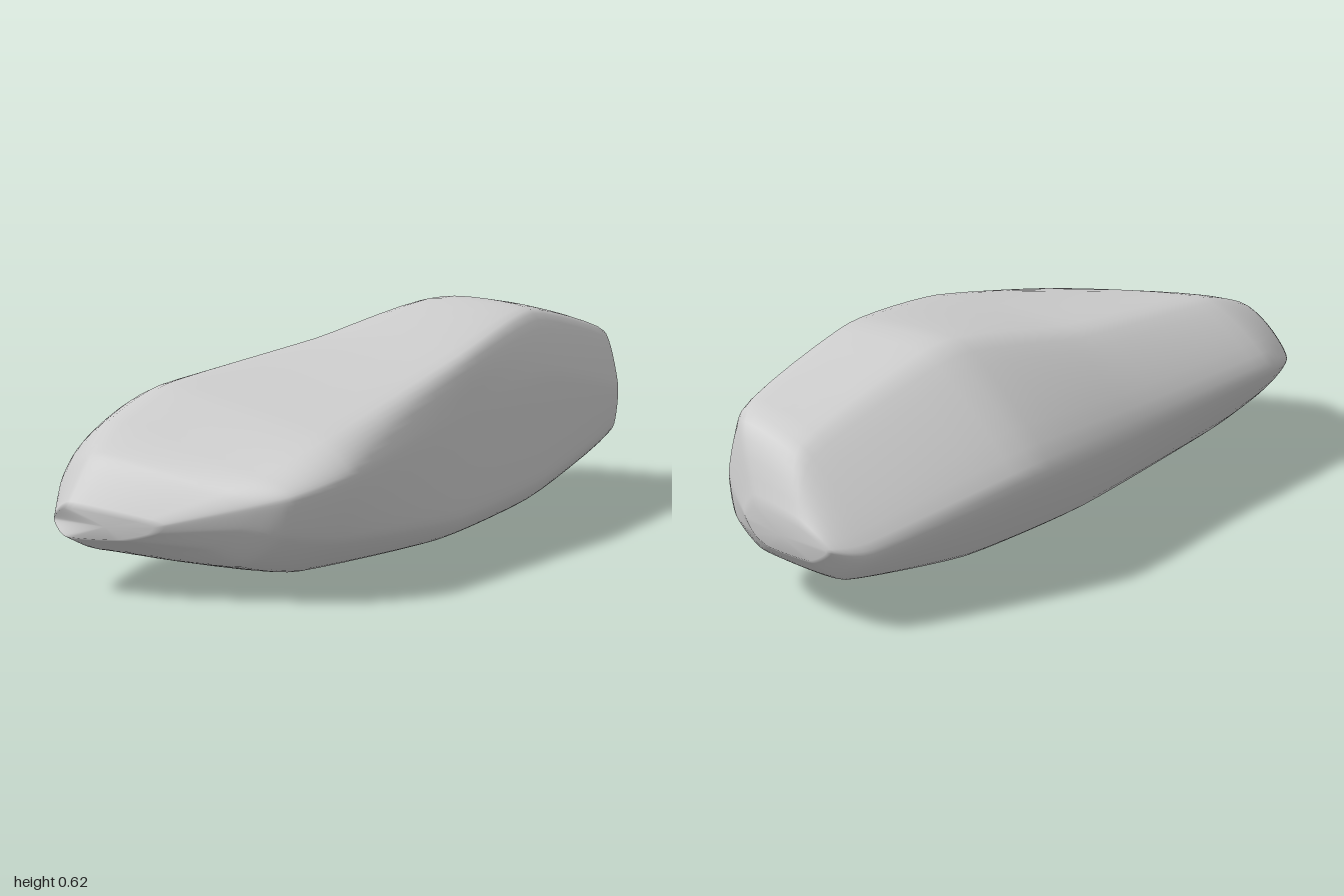
import * as THREE from 'three';

// Cross-sections from back to front: z, skew, then seven (x, y) corners:
// top left, top right, right middle, right lower, bottom right, bottom left, left middle
const SECTIONS = [
  [-1, 0, -.08, .27, .06, .29, .1, .25, .07, .21, .02, .19, -.11, .19, -.17, .23],
  [-.9, 0, -.02, .43, .19, .49, .245, .33, .23, .2, .13, .12, -.14, .11, -.235, .22],
  [-.48, 0, -.13, .605, .21, .6, .285, .42, .27, .12, .18, .035, -.18, .035, -.412, .32],
  [0, 0, -.19, .535, .31, .535, .35, .4, .325, .095, .22, .01, -.19, .01, -.418, .31],
  [.58, 0, -.21, .48, .34, .4, .435, .32, .385, .14, .23, .037, -.19, .037, -.44, .31],
  [.8, .1, -.2, .41, .27, .32, .365, .275, .33, .17, .2, .08, -.2, .075, -.38, .27],
  [.91, .22, -.17, .34, .2, .28, .28, .25, .25, .19, .15, .13, -.19, .1, -.32, .24],
  [1, .3, -.17, .22, .02, .2, .06, .19, .04, .17, -.04, .15, -.18, .145, -.24, .18],
];
const AROUND = 56, ALONG = 6, NOSE_X = -.17, ROUNDNESS = .28;

// Smooth closed ring through the corners; skew sweeps it back away from the nose
function makeRing([z, skew, ...xy]) {
  const corners = [];
  for (let i = 0; i < xy.length; i += 2) {
    corners.push(new THREE.Vector3(xy[i], xy[i + 1], z - skew * Math.abs(xy[i] - NOSE_X)));
  }
  return new THREE.CatmullRomCurve3(corners, true, 'catmullrom', ROUNDNESS).getPoints(AROUND).slice(0, AROUND);
}

function makeRockGeometry() {
  const rings = SECTIONS.map(makeRing);
  const steps = (rings.length - 1) * ALONG;
  const columns = rings[0].map((_, j) =>
    new THREE.CatmullRomCurve3(rings.map(r => r[j]), false, 'catmullrom', ROUNDNESS).getPoints(steps));

  const positions = [], index = [];
  for (let i = 0; i <= steps; i++) {
    for (const column of columns) positions.push(...column[i].toArray());
  }

  // Skin between neighbouring rings
  for (let i = 0; i < steps; i++) {
    for (let j = 0; j < AROUND; j++) {
      const a = i * AROUND + j, b = a + AROUND;
      const c = i * AROUND + (j + 1) % AROUND, d = c + AROUND;
      index.push(a, b, c, b, d, c);
    }
  }

  // Closed ends
  for (const i of [0, steps]) {
    const center = new THREE.Vector3();
    columns.forEach(column => center.addScaledVector(column[i], 1 / AROUND));
    const n = positions.length / 3;
    positions.push(...center.toArray());
    for (let j = 0; j < AROUND; j++) {
      const a = i * AROUND + j, b = i * AROUND + (j + 1) % AROUND;
      if (i === 0) index.push(n, a, b);
      else index.push(n, b, a);
    }
  }

  // Rest the underside on the ground
  const geometry = new THREE.BufferGeometry();
  geometry.setAttribute('position', new THREE.Float32BufferAttribute(positions, 3));
  geometry.setIndex(index);
  geometry.computeBoundingBox();
  geometry.translate(0, -geometry.boundingBox.min.y, 0);
  geometry.computeVertexNormals();
  return geometry;
}

export function createModel() {
  const group = new THREE.Group();
  group.name = 'boulder';
  const rock = new THREE.Mesh(makeRockGeometry(), new THREE.MeshStandardMaterial({ color: 0xcccccc }));
  rock.name = 'rock';
  group.add(rock);
  return group;
}
